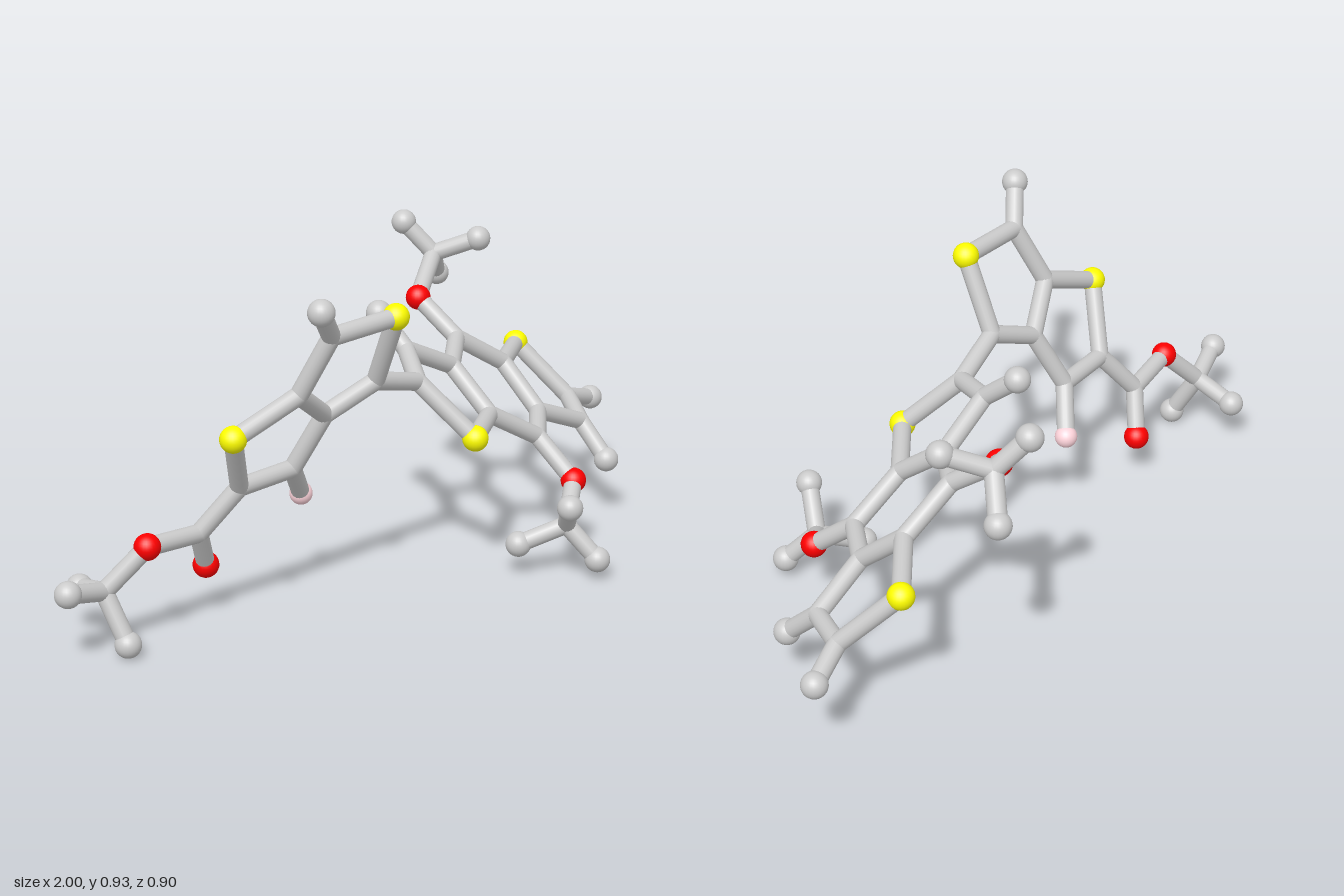
import * as THREE from 'three';

const END = 0.035, BOND = 0.0245;
const mats = {
  C: new THREE.MeshStandardMaterial({ color: 0xcccccc }),
  S: new THREE.MeshStandardMaterial({ color: 0xffff00 }),
  O: new THREE.MeshStandardMaterial({ color: 0xff0000 }),
  P: new THREE.MeshStandardMaterial({ color: 0xffd5dc }),
};
// kind: C = joint carbon, E = grey end ball, S / O / P = coloured balls
const kinds = {
  C: ['carbonJoint', BOND, mats.C],
  E: ['endBall', END, mats.C],
  S: ['sulfurBall', END, mats.S],
  O: ['oxygenBall', END, mats.O],
  P: ['pinkBall', 0.031, mats.P],
};

// Each fragment lists its atoms [kind, x, y, z] and the bonds between them by name
const fragments = {
  leftFusedRings: {
    atoms: {
      s1: ['S', -0.158, 0.813, 0.158], ca: ['C', -0.365, 0.803, 0.13], ha: ['E', -0.448, 0.894, 0.176],
      cb: ['C', -0.407, 0.642, 0.055], cc: ['C', -0.273, 0.547, 0.015], cd: ['C', -0.131, 0.613, 0.062],
      s2: ['S', -0.59, 0.562, 0.005], ce: ['C', -0.495, 0.387, -0.075], cf: ['C', -0.317, 0.392, -0.06],
      pink: ['P', -0.231, 0.284, -0.115],
    },
    bonds: 's1-ca ca-ha ca-cb cb-cc cc-cd cd-s1 cb-s2 s2-ce ce-cf cf-cc cf-pink',
  },
  ester: {
    atoms: {
      est: ['C', -0.572, 0.263, -0.148], o1: ['O', -0.51, 0.145, -0.191], o2: ['O', -0.746, 0.278, -0.152],
      me: ['C', -0.838, 0.166, -0.218], m1: ['E', -0.967, 0.203, -0.204],
      m2: ['E', -0.826, 0.037, -0.147], m3: ['E', -0.813, 0.134, -0.342],
    },
    bonds: 'ce-est est-o1 est-o2 o2-me me-m1 me-m2 me-m3',
  },
  rightFusedRings: {
    atoms: {
      cg: ['C', 0.04, 0.566, 0.055], ch: ['C', 0.131, 0.606, -0.068], hh: ['E', 0.128, 0.689, -0.165],
      s3: ['S', 0.113, 0.421, 0.195], ci: ['C', 0.297, 0.415, 0.088], cj: ['C', 0.295, 0.525, -0.048],
      ck: ['C', 0.432, 0.55, -0.15], cl: ['C', 0.577, 0.453, -0.1], cm: ['C', 0.578, 0.338, 0.03],
      cn: ['C', 0.448, 0.322, 0.135], s4: ['S', 0.767, 0.442, -0.211], co: ['C', 0.84, 0.29, -0.07],
      cp: ['C', 0.747, 0.267, 0.052], ho: ['E', 0.963, 0.252, -0.083], hp: ['E', 0.747, 0.173, 0.148],
    },
    bonds: 'cd-cg cg-ch ch-hh cg-s3 s3-ci ci-cj cj-ch cj-ck ck-cl cl-cm cm-cn cn-ci cl-s4 s4-co co-cp cp-cm co-ho cp-hp',
  },
  upperMethoxy: {
    atoms: {
      ou: ['O', 0.414, 0.645, -0.278], mu: ['C', 0.553, 0.732, -0.344], u1: ['E', 0.505, 0.821, -0.415],
      u2: ['E', 0.623, 0.781, -0.237], u3: ['E', 0.638, 0.644, -0.406],
    },
    bonds: 'ck-ou ou-mu mu-u1 mu-u2 mu-u3',
  },
  lowerMethoxy: {
    atoms: {
      ol: ['O', 0.458, 0.22, 0.257], ml: ['C', 0.335, 0.146, 0.333], l1: ['E', 0.371, 0.056, 0.414],
      l2: ['E', 0.238, 0.095, 0.246], l3: ['E', 0.254, 0.238, 0.408],
    },
    bonds: 'cn-ol ol-ml ml-l1 ml-l2 ml-l3',
  },
};

// Round rod between two points
function rod(a, b) {
  const dir = b.clone().sub(a);
  const mesh = new THREE.Mesh(new THREE.CylinderGeometry(BOND, BOND, dir.length(), 18, 1, true), mats.C);
  mesh.position.copy(a).lerp(b, 0.5);
  mesh.quaternion.setFromUnitVectors(new THREE.Vector3(0, 1, 0), dir.normalize());
  mesh.name = 'bond';
  return mesh;
}

export function createModel() {
  const model = new THREE.Group();
  model.name = 'molecule';
  const points = {};
  for (const [fragmentName, { atoms, bonds }] of Object.entries(fragments)) {
    const group = new THREE.Group();
    group.name = fragmentName;
    // Balls and joints
    for (const [id, [kind, x, y, z]] of Object.entries(atoms)) {
      const [name, radius, material] = kinds[kind];
      const ball = new THREE.Mesh(new THREE.SphereGeometry(radius, 24, 16), material);
      points[id] = ball.position.set(x, y, z);
      ball.name = name;
      group.add(ball);
    }
    // Rods
    for (const pair of bonds.split(' ')) {
      const [a, b] = pair.split('-');
      group.add(rod(points[a], points[b]));
    }
    model.add(group);
  }
  return model;
}
